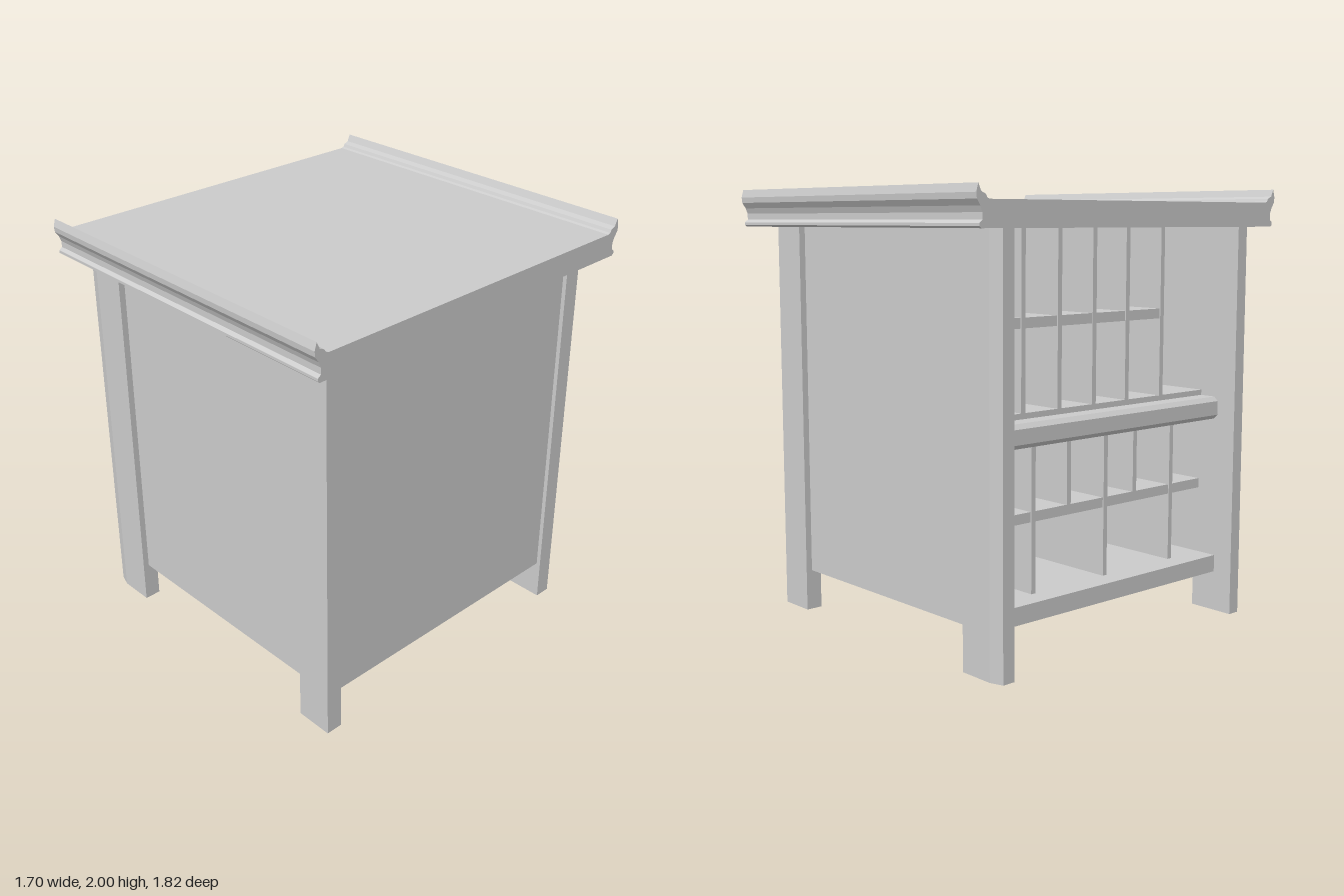
import * as THREE from 'three';

const material = new THREE.MeshStandardMaterial({ color: 0xcccccc, flatShading: true });

export function createModel() {
  const group = new THREE.Group();
  group.name = 'shelvedCounter';

  const add = (name, geometry) => {
    const mesh = new THREE.Mesh(geometry, material);
    mesh.name = name;
    group.add(mesh);
  };

  // Box given by its limits on each axis
  const box = (name, x0, x1, y0, y1, z0, z1) => {
    const g = new THREE.BoxGeometry(x1 - x0, y1 - y0, z1 - z0);
    g.translate((x0 + x1) / 2, (y0 + y1) / 2, (z0 + z1) / 2);
    add(name, g);
  };

  const extrude = (points, depth) => new THREE.ExtrudeGeometry(
    new THREE.Shape(points.map(([a, b]) => new THREE.Vector2(a, b))),
    { depth, bevelEnabled: false });

  // Counter top: a slab with a moulded, upturned lip along front and back
  const lip = [[0.885, 1.83], [0.895, 1.838], [0.895, 1.85], [0.88, 1.862], [0.88, 1.89],
    [0.89, 1.915], [0.907, 1.94], [0.91, 1.965], [0.9, 2], [0.885, 1.968],
    [0.862, 1.958], [0.855, 1.945], [0.842, 1.94]];
  const topProfile = [...lip, ...lip.map(([z, y]) => [-z, y]).reverse()];
  add('counterTop', extrude(topProfile, 1.7).rotateY(-Math.PI / 2).translate(0.85, 0, 0));

  const topY = 1.83, floorY = 0.19, wall = 0.74, inner = 0.69, face = -0.62;

  for (const s of [1, -1]) {
    const end = s > 0 ? 'front' : 'back';
    // Flat corner legs; the wider pair on the open side has a bevelled outer corner
    const legs = {
      Open: [[-0.82, 0.69], [-0.59, 0.69], [-0.59, 0.77], [-0.76, 0.77], [-0.82, 0.75]],
      Closed: [[0.58, 0.69], [0.76, 0.69], [0.76, 0.77], [0.58, 0.77]],
    };
    for (const side in legs) {
      const plan = legs[side].map(([x, z]) => [x, z * s]);
      add(`${end}Leg${side}Side`, extrude(plan, topY).rotateX(Math.PI / 2).translate(0, topY, 0));
    }
    // Wall panels set slightly behind the legs
    const z = [inner * s, wall * s].sort((a, b) => a - b);
    box(`${end}Panel`, face, wall, floorY, topY, ...z);
  }
  box('sidePanel', 0.69, wall, floorY, topY, -inner, inner);

  // Floor and its thick front board
  box('floor', face, 0.69, floorY, 0.27, -inner, inner);
  box('floorFrontBoard', -0.72, face, floorY, 0.27, -inner, inner);

  // Middle shelf with a bevelled nosing
  box('middleShelf', face, 0.69, 0.96, 1.06, -inner, inner);
  const nosing = [[face, 0.93], [-0.7, 0.93], [-0.72, 0.95], [-0.72, 1.015], [-0.7, 1.035], [face, 1.035]];
  add('middleShelfNosing', extrude(nosing, 2 * inner).translate(0, 0, -inner));

  // Upright dividers and thin shelves of the two tiers
  const t = 0.012;
  const dividers = (name, y0, y1, places) => places.forEach(
    z => box(name, face, 0.69, y0, y1, z - t, z + t));
  dividers('upperDivider', 1.06, topY, [-0.46, -0.25, -0.04, 0.17, 0.4]);
  dividers('lowerDivider', 0.27, 0.96, [-0.4, 0.04, 0.48]);
  dividers('lowerHalfDivider', 0.63, 0.96, [-0.19, 0.23]);
  box('upperThinShelf', face + 0.005, 0.69, 1.415, 1.46, -inner, 0.4);
  box('lowerThinShelf', face + 0.005, 0.69, 0.585, 0.63, -inner, inner);

  return group;
}
